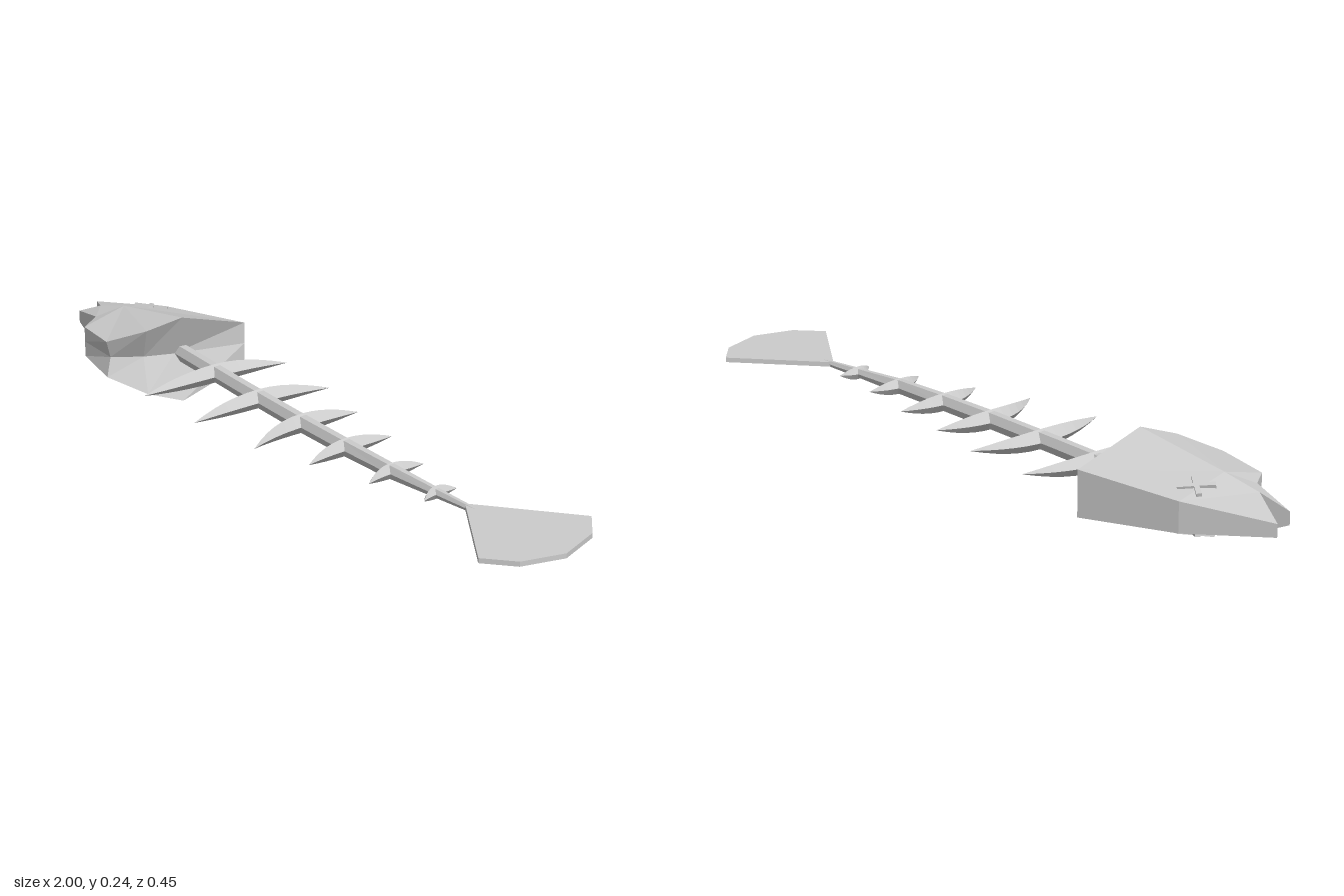
import * as THREE from 'three';

const MID = 0.122; // height of the symmetry plane
const mat = new THREE.MeshStandardMaterial({ color: 0xcccccc, flatShading: true });

function meshFrom(name, triangles) {
  const geo = new THREE.BufferGeometry();
  geo.setAttribute('position', new THREE.Float32BufferAttribute(triangles.flat(2), 3));
  geo.computeVertexNormals();
  const mesh = new THREE.Mesh(geo, mat);
  mesh.name = name;
  return mesh;
}

// Joins rings of points (counter-clockwise about the travel direction), with capped ends
function loft(name, rings) {
  const tris = [], n = rings[0].length, last = rings[rings.length - 1];
  for (let r = 0; r < rings.length - 1; r++) {
    const a = rings[r], b = rings[r + 1];
    for (let i = 0; i < n; i++) {
      const j = (i + 1) % n;
      tris.push([a[i], a[j], b[j]], [a[i], b[j], b[i]]);
    }
  }
  for (let i = 1; i < n - 1; i++) {
    tris.push([rings[0][0], rings[0][i + 1], rings[0][i]], [last[0], last[i], last[i + 1]]);
  }
  return meshFrom(name, tris);
}

// Head: outline [x, z, half thickness], mirrored about the mid plane, last point on the cheek ridge
function makeHead() {
  const p = [
    [-1, -0.03, 0.017], [-0.89, 0.025, 0.05], [-0.965, 0.05, 0.017], [-0.835, 0.075, 0.045],
    [-0.79, 0.14, 0.043], [-0.64, 0.163, 0.052], [-0.555, 0.087, 0.092], [-0.52, -0.005, 0.122],
    [-0.52, -0.21, 0.061], [-0.79, -0.14, 0.04], [-0.79, 0.01, 0.077],
  ];
  // Inset centre line of the gill and belly groove
  const inset = { 5: [-0.65, 0.145], 6: [-0.6, 0.07], 7: [-0.57, -0.01] };
  const faces = [[0, 1, 9], [1, 10, 9], [9, 10, 8], [10, 7, 8], [1, 2, 3],
    [1, 3, 10], [3, 4, 10], [4, 5, 10], [5, 6, 10], [6, 7, 10]];
  const top = p.map(([x, z, h]) => [x, MID + h, z]);
  const bottom = p.map(([x, z, h]) => [x, MID - h, z]);
  const mid = p.map(([x, z], i) => [(inset[i] || [x, z])[0], MID, (inset[i] || [x, z])[1]]);
  const tris = [];
  for (const [a, b, c] of faces) tris.push([top[a], top[b], top[c]], [bottom[a], bottom[c], bottom[b]]);
  for (let i = 0; i < 10; i++) {
    const j = (i + 1) % 10;
    tris.push([mid[i], mid[j], top[j]], [mid[i], top[j], top[i]]);
    tris.push([bottom[i], bottom[j], mid[j]], [bottom[i], mid[j], mid[i]]);
  }
  return meshFrom('head', tris);
}

// Crossed bars lying on the sloping cheek
function makeEye(side) {
  const holder = new THREE.Group();
  holder.name = side > 0 ? 'upperEye' : 'lowerEye';
  holder.position.y = MID;
  holder.scale.y = side;
  const cross = new THREE.Group();
  cross.position.set(-0.78, 0.057, -0.073);
  const normal = new THREE.Vector3(-0.142, 1, -0.247).normalize();
  cross.quaternion.setFromUnitVectors(new THREE.Vector3(0, 1, 0), normal);
  for (const [length, turn] of [[0.092, 0.82], [0.075, -0.63]]) {
    const bar = new THREE.Mesh(new THREE.BoxGeometry(length, 0.014, 0.013), mat);
    bar.name = 'eyeBar';
    bar.rotation.y = turn;
    cross.add(bar);
  }
  holder.add(cross);
  return holder;
}

// Spine: tapering, gently curved hexagonal rod
function makeSpine() {
  const stations = [ // x, z, half height, half width
    [-0.575, -0.032, 0.022, 0.02], [-0.25, -0.018, 0.022, 0.02], [0, -0.011, 0.022, 0.02],
    [0.2, -0.01, 0.021, 0.019], [0.38, -0.013, 0.019, 0.016], [0.55, -0.024, 0.012, 0.011],
    [0.69, -0.034, 0.007, 0.007],
  ];
  return loft('spine', stations.map(([x, z, h, w]) =>
    Array.from({ length: 6 }, (_, i) => {
      const a = (i + 0.5) * Math.PI / 3;
      return [x, MID + h * Math.cos(a) / Math.cos(Math.PI / 6), z + w * Math.sin(a)];
    })));
}

// Rib pair: diamond sections swept backward to a point at both ends
function makeRib([a, b, zBase, backX, backZ, bellyX, bellyZ]) {
  const rings = [], steps = 6;
  const height = 0.027 * Math.min(1, 0.3 + 0.7 * (b - a) / 0.045);
  for (let i = -steps; i <= steps; i++) {
    const t = Math.abs(i) / steps, k = t * t;
    const tipX = i < 0 ? backX : bellyX, tipZ = i < 0 ? backZ : bellyZ;
    const x0 = a + (tipX - a) * k, x1 = b + (tipX - b) * k;
    const z = zBase + (tipZ - zBase) * t, h = Math.max(height * (1 - k), 0.0005), m = (x0 + x1) / 2;
    rings.push([[x1, MID, z], [m, MID + h, z], [x0, MID, z], [m, MID - h, z]]);
  }
  return loft('rib', rings);
}

// Tail fin: thin flat plate
function makeTail() {
  const outline = [[0.655, -0.032], [0.885, -0.23], [0.955, -0.17], [1, -0.05], [0.97, 0.065], [0.9, 0.13]];
  const shape = new THREE.Shape(outline.map(([x, z]) => new THREE.Vector2(x, -z)));
  const geo = new THREE.ExtrudeGeometry(shape, { depth: 0.013, bevelEnabled: false });
  geo.rotateX(-Math.PI / 2);
  geo.translate(0, MID - 0.0065, 0);
  const tail = new THREE.Mesh(geo, mat);
  tail.name = 'tailFin';
  return tail;
}

export function createModel() {
  const model = new THREE.Group();
  model.name = 'fishSkeleton';
  model.add(makeHead(), makeEye(1), makeEye(-1), makeSpine(), makeTail());

  // Ribs: front x, rear x, base z, back tip x and z, belly tip x and z
  const ribs = [
    [-0.41, -0.362, -0.02, -0.335, -0.22, -0.365, 0.218],
    [-0.2, -0.148, -0.015, -0.125, -0.207, -0.14, 0.212],
    [0, 0.046, -0.01, 0.05, -0.17, 0.085, 0.182],
    [0.19, 0.23, -0.01, 0.225, -0.145, 0.245, 0.13],
    [0.375, 0.407, -0.014, 0.405, -0.105, 0.42, 0.077],
    [0.542, 0.566, -0.025, 0.565, -0.08, 0.577, 0.03],
  ];
  for (const rib of ribs) model.add(makeRib(rib));
  return model;
}
